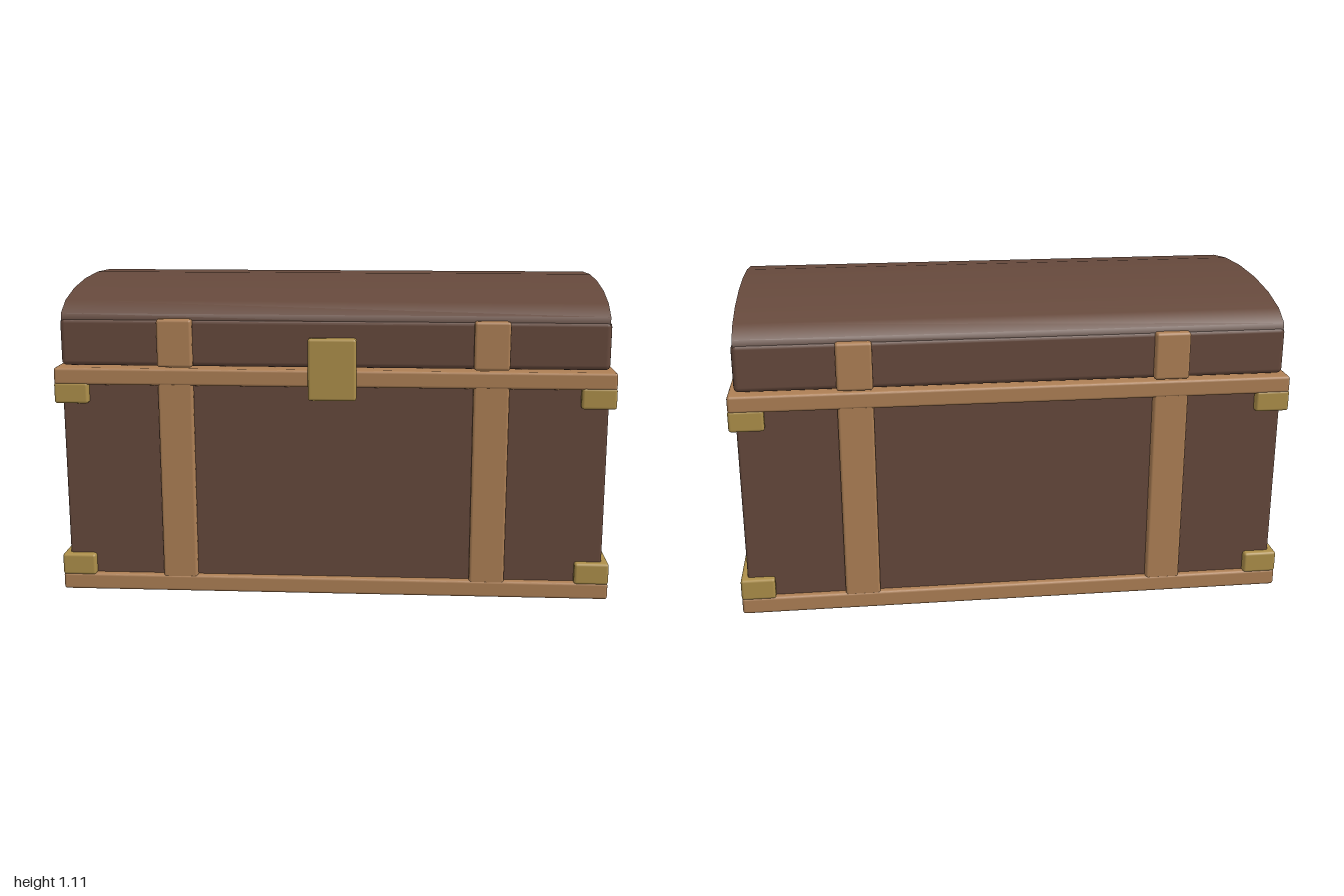
import * as THREE from 'three';
import { RoundedBoxGeometry } from 'three/addons/geometries/RoundedBoxGeometry.js';

const material = (color) => new THREE.MeshStandardMaterial({ color });

export function createModel() {
  const chest = new THREE.Group();
  chest.name = 'chest';
  const leather = material(0x66493c);
  const wood = material(0xae8055);
  const brass = material(0xae904a);
  const iron = material(0x2b2a28);
  const Z = -0.003; // the latch sits proud, so the case is set back a little

  const add = (name, geometry, mat, x, y, z) => {
    const mesh = new THREE.Mesh(geometry, mat);
    mesh.name = name;
    mesh.position.set(x, y, z);
    chest.add(mesh);
    return mesh;
  };
  // Softly bevelled block between two heights
  const block = (name, mat, width, y0, y1, depth, x = 0, z = Z, bevel = 0.01) =>
    add(name, new RoundedBoxGeometry(width, y1 - y0, depth, 2, bevel), mat, x, (y0 + y1) / 2, z);

  // Case and its wooden base and rim
  block('body', leather, 1.93, 0, 0.82, 1.048);
  block('baseFrame', wood, 1.976, 0.001, 0.062, 1.096);
  block('rimFrame', wood, 1.976, 0.765, 0.826, 1.096);

  // Lid: straight skirt with a shallow dome on top
  block('lidSkirt', leather, 1.93, 0.83, 1.0, 1.048, 0, Z, 0.018);
  const dome = new THREE.CylinderGeometry(0.527, 0.527, 1.916, 18);
  dome.rotateZ(Math.PI / 2);
  dome.rotateX(Math.PI / 18); // flat facet on top
  dome.scale(1, 0.118 / 0.527, 1);
  add('lidDome', dome, leather, 0, 0.996, Z);

  for (const side of [-1, 1]) {
    const name = side > 0 ? 'left' : 'right';
    // Wooden straps round the case and the lid
    block(name + 'BodyStrap', wood, 0.125, 0.03, 0.8, 1.092, side * 0.555);
    block(name + 'LidStrap', wood, 0.125, 0.83, 1.0, 1.094, side * 0.555);
    // Brass end bands that wrap the corners
    block(name + 'LowerBand', brass, 0.122, 0.056, 0.135, 1.098, side * 0.928);
    block(name + 'UpperBand', brass, 0.122, 0.697, 0.773, 1.098, side * 0.928);
    // Ring handle
    const ring = new THREE.TorusGeometry(0.098, 0.022, 10, 20);
    ring.rotateY(Math.PI / 2);
    add(name + 'RingHandle', ring, iron, side * 0.978, 0.513, Z);
  }

  // Front latch plate
  block('latch', brass, 0.17, 0.718, 0.938, 0.04, 0, 0.535);

  return chest;
}
